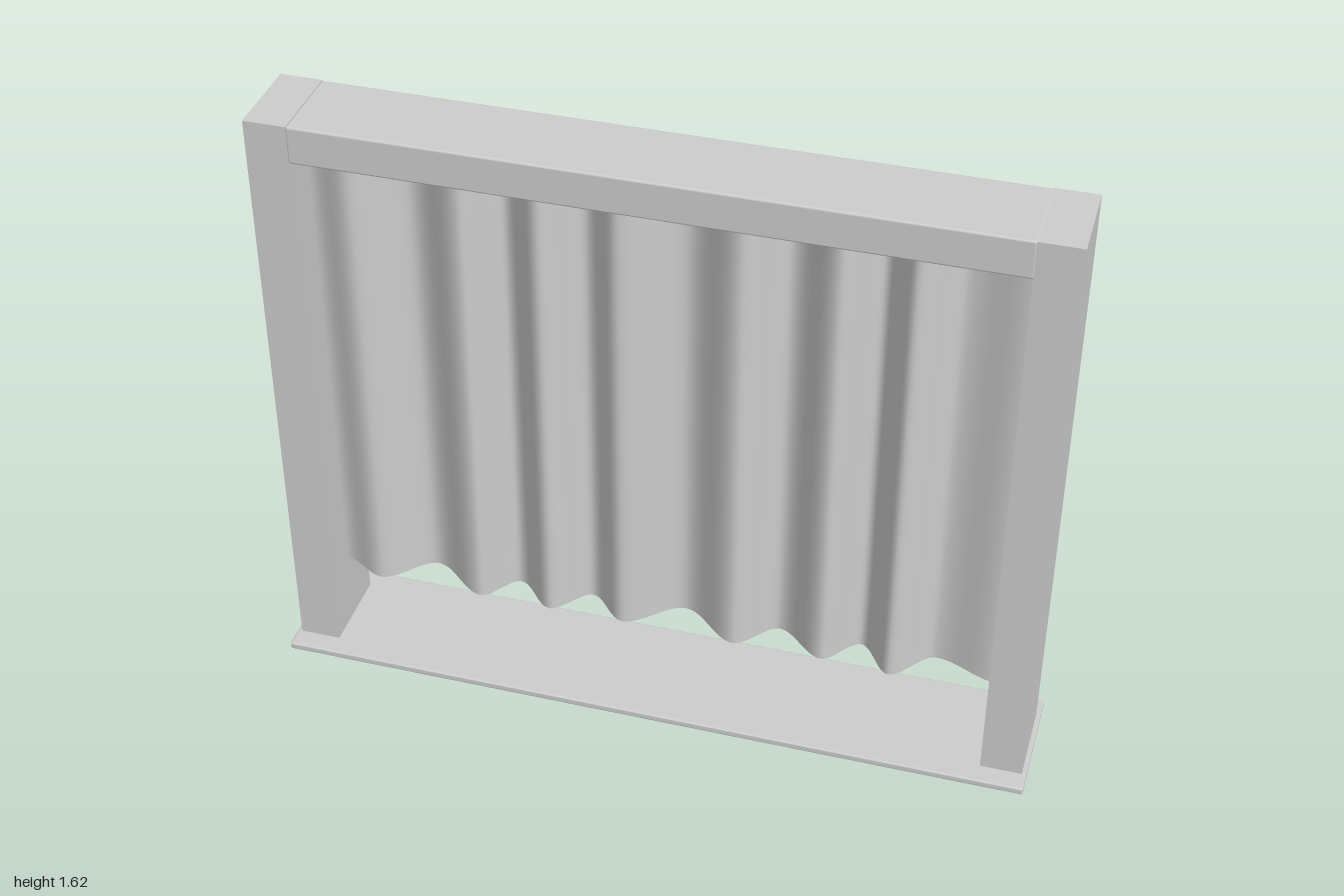
import * as THREE from 'three';
import { RoundedBoxGeometry } from 'three/addons/geometries/RoundedBoxGeometry.js';

// Fold line of the curtain: [x, z] at each crest and valley
const FOLDS = [
  [-0.88, 0.005], [-0.77, 0.05], [-0.64, -0.04], [-0.49, 0.047], [-0.405, -0.042],
  [-0.295, 0.047], [-0.2, -0.035], [-0.1, 0.04], [0.05, -0.045], [0.2, 0.045],
  [0.305, -0.045], [0.435, 0.042], [0.525, -0.047], [0.615, 0.047], [0.72, -0.04], [0.88, 0.005],
];

// Smooth ease between neighbouring crests and valleys
function foldDepth(x) {
  let i = 0;
  while (i < FOLDS.length - 2 && x > FOLDS[i + 1][0]) i++;
  const [x0, z0] = FOLDS[i];
  const [x1, z1] = FOLDS[i + 1];
  return THREE.MathUtils.lerp(z0, z1, THREE.MathUtils.smoothstep(x, x0, x1));
}

export function createModel() {
  const group = new THREE.Group();
  const frameGrey = new THREE.MeshStandardMaterial({ color: 0xcccccc });
  frameGrey.name = 'lightGrey';
  frameGrey.side = THREE.DoubleSide;

  const add = (name, geometry, x, y, z) => {
    const mesh = new THREE.Mesh(geometry, frameGrey);
    mesh.name = name;
    mesh.position.set(x, y, z);
    group.add(mesh);
  };

  // Thin floor plate
  add('basePlate', new RoundedBoxGeometry(2, 0.02, 0.34, 2, 0.005), 0, 0.01, 0);

  // Upright posts and the beam between them
  for (const side of [-1, 1]) {
    add(side > 0 ? 'leftPost' : 'rightPost', new THREE.BoxGeometry(0.108, 1.602, 0.23), side * 0.934, 0.819, 0);
  }
  add('topBeam', new RoundedBoxGeometry(1.764, 0.1, 0.23, 2, 0.006), 0, 1.57, 0);

  // Pleated curtain with a slightly uneven hem
  const top = 1.522, hem = 0.213;
  const cloth = new THREE.PlaneGeometry(1.76, 1, 240, 8);
  const p = cloth.attributes.position;
  for (let i = 0; i < p.count; i++) {
    const x = p.getX(i);
    const bottom = hem + 0.004 * Math.sin(x * 19) + 0.003 * Math.sin(x * 8 + 1);
    p.setY(i, THREE.MathUtils.lerp(bottom, top, p.getY(i) + 0.5));
    p.setZ(i, foldDepth(x));
  }
  cloth.computeVertexNormals();
  add('curtain', cloth, 0, 0, 0);

  return group;
}
